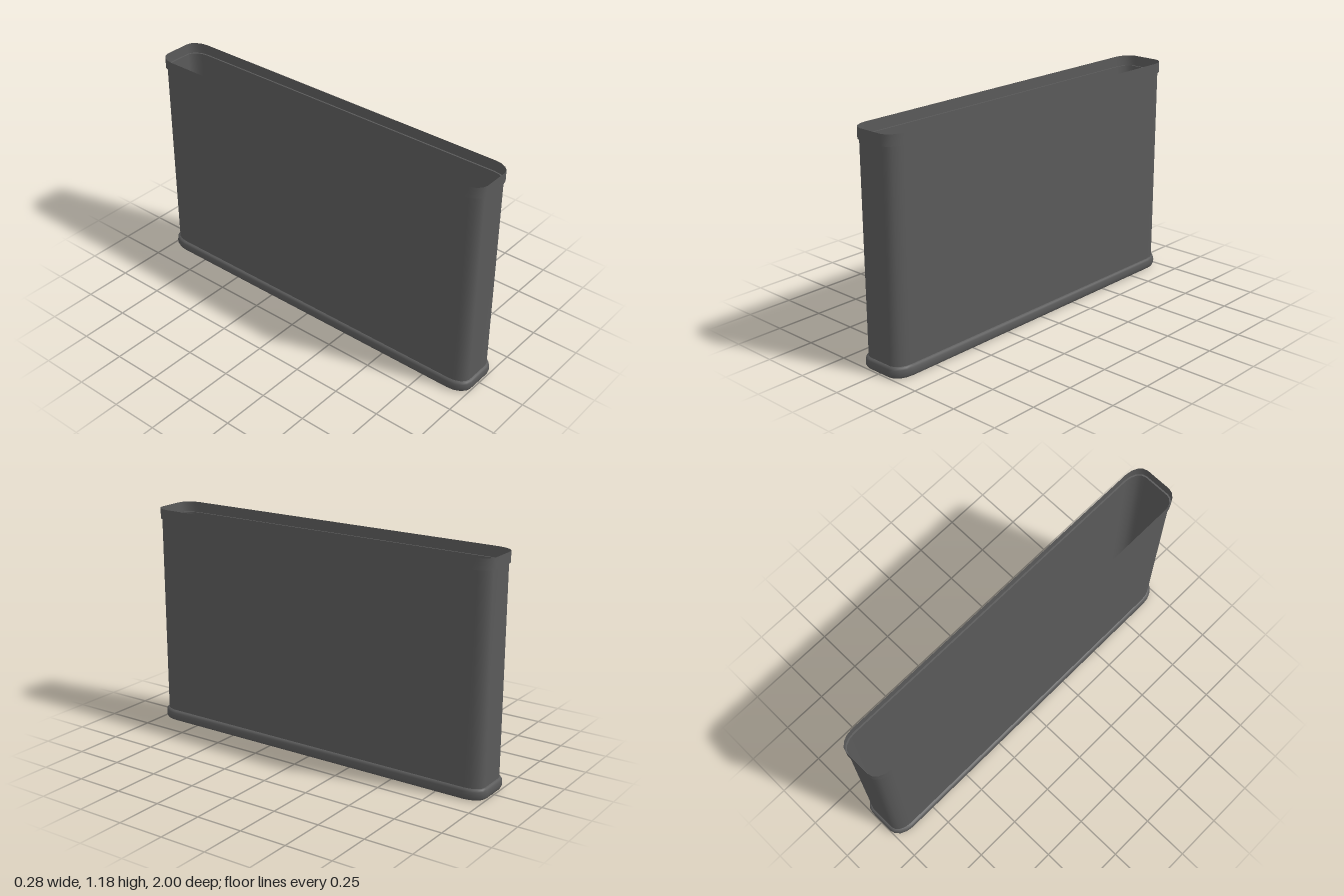
import * as THREE from 'three';
import { mergeGeometries } from 'three/addons/utils/BufferGeometryUtils.js';

const BODY_X = 0.124, BODY_Z = 0.985, CORNER_X = 0.055, CORNER_Z = 0.085, STEPS = 4;

// rounded-rectangle outline, grown outwards by d, as [x, z] pairs
function outline(d) {
  const points = [];
  for (let corner = 0; corner < 4; corner++) {
    for (let i = 0; i <= STEPS; i++) {
      const a = (corner + i / STEPS) * Math.PI / 2;
      const sx = corner === 0 || corner === 3 ? 1 : -1;
      const sz = corner < 2 ? 1 : -1;
      points.push([
        sx * (BODY_X - CORNER_X) + Math.cos(a) * (CORNER_X + d),
        sz * (BODY_Z - CORNER_Z) + Math.sin(a) * (CORNER_Z + d),
      ]);
    }
  }
  return points;
}

function finish(positions, index) {
  const geometry = new THREE.BufferGeometry();
  geometry.setAttribute('position', new THREE.Float32BufferAttribute(positions, 3));
  geometry.setIndex(index);
  geometry.computeVertexNormals();
  return geometry;
}

// smooth wall through rings given as [growth, y], listed upwards
function wall(rings) {
  const positions = [], index = [], n = 4 * (STEPS + 1);
  for (const [d, y] of rings) for (const [x, z] of outline(d)) positions.push(x, y, z);
  for (let r = 0; r < rings.length - 1; r++) {
    for (let i = 0; i < n; i++) {
      const a = r * n + i, b = r * n + (i + 1) % n;
      index.push(a, a + n, b, b, a + n, b + n);
    }
  }
  return finish(positions, index);
}

// flat cap facing up or down
function cap(d, y, up) {
  const positions = [0, y, 0], index = [], n = 4 * (STEPS + 1);
  for (const [x, z] of outline(d)) positions.push(x, y, z);
  for (let i = 0; i < n; i++) {
    const a = 1 + i, b = 1 + (i + 1) % n;
    index.push(0, ...(up ? [b, a] : [a, b]));
  }
  return finish(positions, index);
}

export function createModel() {
  const model = new THREE.Group();
  const grey = new THREE.MeshStandardMaterial({ color: 0x5a5a5a, side: THREE.DoubleSide });
  grey.name = 'dark grey';

  function part(name, ...geometries) {
    const mesh = new THREE.Mesh(mergeGeometries(geometries), grey);
    mesh.name = name;
    model.add(mesh);
  }

  // thin open shell
  part('body', wall([[0, 0.058], [0, 1.122]]));

  // stepped collar around the opening
  part('rim', wall([[0, 1.122], [0.008, 1.122]]), wall([[0.008, 1.122], [0.008, 1.178]]));

  // bulging foot with a closed bottom and the inner floor
  part('base',
    cap(0.002, 0, false),
    wall([[0.002, 0], [0.009, 0.004], [0.014, 0.015], [0.015, 0.03], [0.014, 0.045], [0.009, 0.055], [0, 0.058]]),
    cap(0, 0.058, true));

  return model;
}
